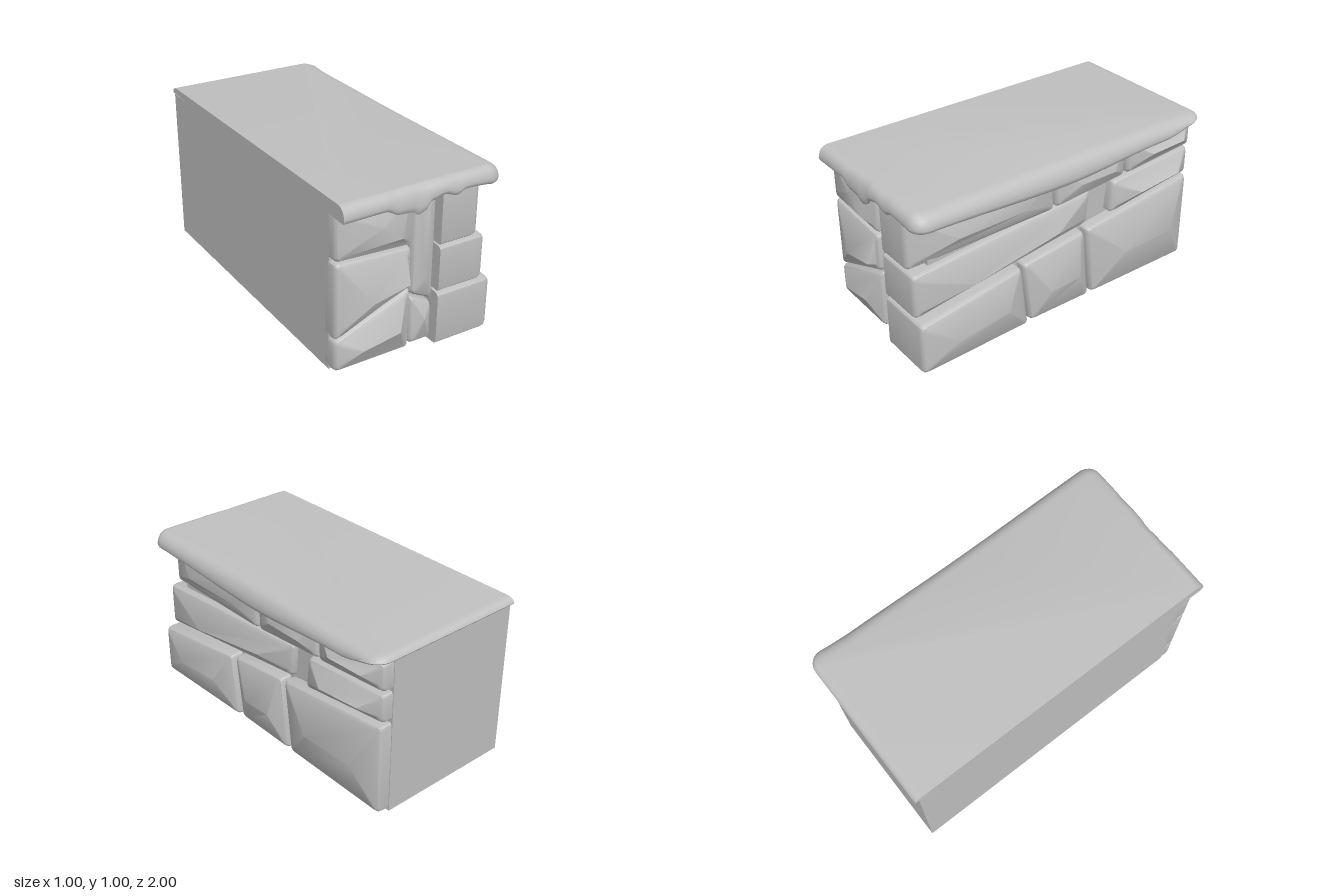
import * as THREE from 'three';
import { toCreasedNormals } from 'three/addons/utils/BufferGeometryUtils.js';

const grey = new THREE.MeshStandardMaterial({ color: 0xc0c0c0 });
grey.name = 'stoneGrey';
const V = (x, y, z) => new THREE.Vector3(x, y, z);
const lerp = THREE.MathUtils.lerp;

// Skin a stack of equal rings, listed from the outer cap to the base, and close both ends.
function loft(name, rings, crease) {
  const pos = [];
  const tri = (a, b, c) => {
    const area = b.clone().sub(a).cross(c.clone().sub(a)).length();
    if (area > 1e-8) for (const p of [a, b, c]) pos.push(p.x, p.y, p.z);
  };
  const n = rings[0].length, last = rings[rings.length - 1];
  for (let r = 0; r < rings.length - 1; r++) {
    for (let i = 0; i < n; i++) {
      const j = (i + 1) % n, up = rings[r], low = rings[r + 1];
      tri(low[i], low[j], up[j]);
      tri(low[i], up[j], up[i]);
    }
  }
  for (let i = 1; i < n - 1; i++) {
    tri(rings[0][0], rings[0][i], rings[0][i + 1]);
    tri(last[0], last[i + 1], last[i]);
  }
  const geo = new THREE.BufferGeometry();
  geo.setAttribute('position', new THREE.Float32BufferAttribute(pos, 3));
  const mesh = new THREE.Mesh(toCreasedNormals(geo, crease), grey);
  mesh.name = name;
  return mesh;
}

// Shrink a polygon of (u, v, height) corners by an equal margin and shift its height.
function inset(corners, s, dh) {
  return corners.map((p, i) => {
    const n = corners.length;
    const flat = (q) => V(q.x - p.x, q.y - p.y, 0).normalize();
    const d1 = flat(corners[(i + n - 1) % n]), d2 = flat(corners[(i + 1) % n]);
    const k = s / Math.abs(d1.x * d2.y - d1.y * d2.x);
    return V(p.x + (d1.x + d2.x) * k, p.y + (d1.y + d2.y) * k, p.z + dh);
  });
}

// Round the corners of a polygon.
function rounded(corners, r) {
  const out = [];
  corners.forEach((p, i) => {
    const n = corners.length;
    const toward = (q) => p.clone().add(q.clone().sub(p).setLength(r));
    const a = toward(corners[(i + n - 1) % n]), b = toward(corners[(i + 1) % n]);
    out.push(...new THREE.QuadraticBezierCurve3(a, p, b).getPoints(3));
  });
  return out;
}

// Hewn stone: bevelled four-sided outline (low start, low end, high end, high start)
// rising to peaks placed by fractions across and up the face.
function stone(name, c, peaks, peakHeight, base, place) {
  const tops = peaks.map(([u, v]) => {
    const p = c[0].clone().lerp(c[1], u).lerp(c[3].clone().lerp(c[2], u), v);
    return V(p.x, p.y, peakHeight);
  });
  const rim = rounded(inset(c, 0.032, 0), 0.02);
  const nearest = (p) => tops.reduce((a, b) => (p.distanceTo(b) < p.distanceTo(a) ? b : a));
  const rings = [
    rim.map(nearest),
    rim,
    rounded(inset(c, 0.012, -0.009), 0.022),
    rounded(inset(c, 0.003, -0.022), 0.025),
    rounded(inset(c, 0, -0.04), 0.025),
    rounded(c, 0.025).map((p) => V(p.x, p.y, base)),
  ];
  return loft(name, rings.map((ring) => ring.map(place)), 0.5);
}

// Smooth interpolation through a short list of [position, value] pairs.
function sample(table, t) {
  const i = Math.max(1, table.findIndex(([at]) => t <= at));
  const [a, va] = table[i - 1], [b, vb] = table[i];
  return lerp(va, vb, THREE.MathUtils.smoothstep(t, a, b));
}

// Cap slab with a rounded, drooping lip on the front and +x edges.
function makeCap() {
  const drips = [[-0.5, 0.914], [-0.25, 0.916], [-0.17, 0.88], [-0.09, 0.875], [-0.05, 0.85], [-0.01, 0.86],
    [0.03, 0.908], [0.11, 0.925], [0.19, 0.9], [0.25, 0.922], [0.5, 0.905]];
  const sag = [[-1, 0.965], [-0.7, 0.905], [0, 0.866], [1, 0.905]];
  const path = [], r = 0.09;
  const add = (x, z, nx, nz, lip) => path.push({ x, z, nx, nz, lip });
  for (let i = 0; i < 60; i++) {
    const x = -0.5 + (i / 60) * (1 - r);
    add(x, 1, 0, 1, sample(drips, x));
  }
  for (let i = 0; i <= 8; i++) {
    const a = (i / 8) * Math.PI / 2, nx = Math.sin(a), nz = Math.cos(a);
    add(0.5 - r + r * nx, 1 - r + r * nz, nx, nz, 0.908 - 0.005 * nx);
  }
  for (let i = 1; i < 30; i++) {
    const z = 1 - r - (i / 30) * (2 - 2 * r);
    add(0.5, z, 1, 0, sample(sag, z));
  }
  for (let i = 0; i <= 8; i++) {
    const a = (i / 8) * Math.PI / 2, nx = Math.cos(a), nz = -Math.sin(a);
    const z = -1 + r + r * nz;
    add(0.5 - r + r * nx, z, nx, nz, sample(sag, z));
  }
  add(-0.5, -1, 0, -1, 0.965);
  // [inset, fraction of the way down to the lip]
  const profile = [[0.085, 0], [0.06, 0.04], [0.036, 0.14], [0.018, 0.3], [0.007, 0.5], [0, 0.75],
    [0.004, 0.9], [0.016, 1], [0.035, 0.98]];
  const rings = profile.map(([s, t]) => path.map((p) =>
    V(p.x - p.nx * s, lerp(1.003, p.lip, t), p.z - p.nz * s * 0.65)));
  rings.push(path.map((p) => V(p.x - p.nx * 0.085, Math.max(p.lip, 0.93), p.z - p.nz * 0.07)));
  return loft('capSlab', rings, 0.8);
}

// Front stones in two columns; each bed runs from the column's left side to its right.
function addFrontStones(group) {
  const columns = [
    { x: [-0.5, -0.03], rim: 0.932, stones: [
      { name: 'frontStoneTop', low: [0.665, 0.64], high: [0.95, 0.95], peaks: [[0.53, 0.56], [0.79, 0.27]], out: 0.975 },
      { name: 'frontStoneMiddle', low: [0.2, 0.395], high: [0.657, 0.628], peaks: [[0.43, 0.32], [0.9, 0.27]], out: 0.985 },
      { name: 'frontStoneBottom', low: [0.01, 0.01], high: [0.197, 0.385], peaks: [[0.3, 0.5], [0.79, 0.47]], out: 0.985 },
    ] },
    { x: [-0.017, 0.14], rim: 0.915, stones: [
      { name: 'frontStoneTall', low: [0.328, 0.25], high: [0.95, 0.95], peaks: [[0.5, 0.2], [0.5, 0.8]], out: 0.935 },
      { name: 'frontStoneSmall', low: [0.01, 0.01], high: [0.312, 0.235], peaks: [[0.45, 0.6]], out: 0.95 },
    ] },
  ];
  for (const { x, rim, stones } of columns) {
    for (const { name, low, high, peaks, out } of stones) {
      const corners = [V(x[0], low[0], rim), V(x[1], low[1], rim), V(x[1], high[1], rim), V(x[0], high[0], rim)];
      group.add(stone(name, corners, peaks, out, 0.83, (p) => p.clone()));
    }
  }
}

// Side stones in three sloping courses; the first of each course is a deep corner stone.
function addSideStones(group) {
  const front = 0.98, back = -0.97;
  const courses = [
    { name: 'Bottom', low: [0.01, 0.01], high: [0.325, 0.575], lean: 0.05, stones: [
      { z: [front, 0.25], rim: [0.47, 0.45], peaks: [0.45, 0.5], out: 0.5 },
      { z: [0.23, -0.21], rim: [0.44, 0.44], peaks: [0.45, 0.45], out: 0.488 },
      { z: [-0.23, back], rim: [0.44, 0.44], peaks: [0.5, 0.48], out: 0.5 },
    ] },
    { name: 'Middle', low: [0.34, 0.59], high: [0.61, 0.765], lean: -0.02, stones: [
      { z: [front, -0.21], rim: [0.41, 0.4], peaks: [0.25, 0.38], out: 0.45 },
      { z: [-0.36, back], rim: [0.43, 0.43], peaks: [0.45, 0.45], out: 0.49 },
    ] },
    { name: 'Top', low: [0.62, 0.78], high: [0.95, 0.95], lean: 0.01, stones: [
      { z: [front, 0.06], rim: [0.355, 0.43], peaks: [0.4, 0.34], out: 0.44 },
      { z: [0.045, -0.46], rim: [0.43, 0.43], peaks: [0.45, 0.4], out: 0.468 },
      { z: [-0.475, back], rim: [0.435, 0.435], peaks: [0.5, 0.5], out: 0.49 },
    ] },
  ];
  for (const { name, low, high, lean, stones } of courses) {
    const corner = (bed, z, rim) => V(z, THREE.MathUtils.mapLinear(z, front, back, ...bed), rim);
    const leaned = (z) => (z === front || z === back ? z : z + lean);
    stones.forEach(({ z, rim, peaks, out }, i) => {
      const corners = [corner(low, z[0], rim[0]), corner(low, z[1], rim[1]),
        corner(high, leaned(z[1]), rim[1]), corner(high, leaned(z[0]), rim[0])];
      const label = i === 0 ? `cornerStone${name}` : `sideStone${name}${i}`;
      const places = [[0.3, peaks[0]], [0.78, peaks[1]]];
      group.add(stone(label, corners, places, out, i === 0 ? 0.11 : 0.3, (p) => V(p.z, p.y, p.x)));
    });
  }
}

export function createModel() {
  const group = new THREE.Group();
  group.name = 'stoneWall';
  // Plain core behind the stones
  const core = new THREE.Mesh(new THREE.BoxGeometry(0.86, 0.96, 1.835), grey);
  core.name = 'wallCore';
  core.position.set(-0.07, 0.48, -0.0575);
  group.add(core, makeCap());
  addFrontStones(group);
  addSideStones(group);
  return group;
}
